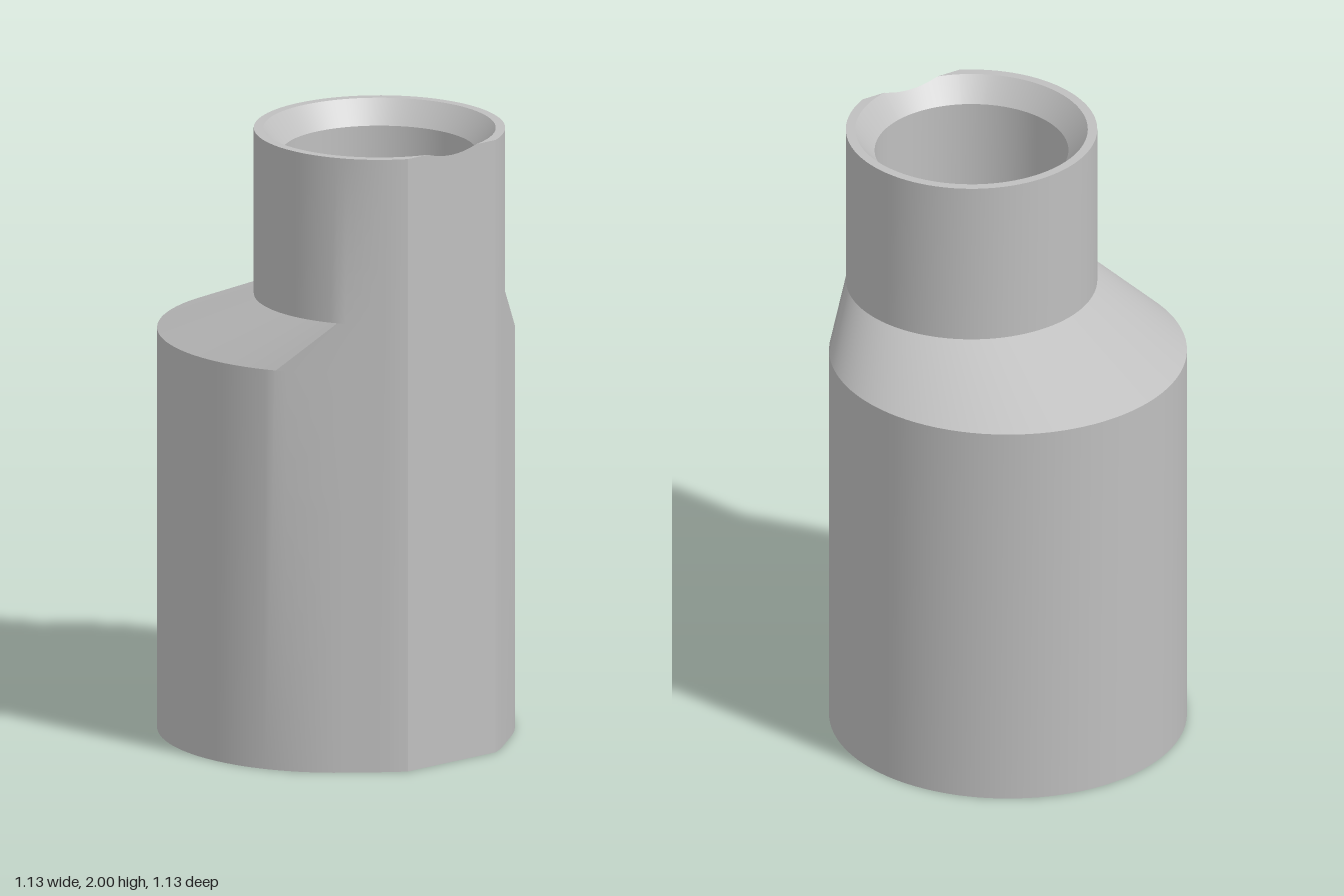
import * as THREE from 'three';
import { toCreasedNormals } from 'three/addons/utils/BufferGeometryUtils.js';

const BODY_R = 0.565;      // large lower cylinder, centred on the origin
const NECK_R = 0.397;      // small upper cylinder, shifted forwards
const NECK_Z = 0.212;
const FLAT_Z = 0.565;      // flat cut along the whole front
const MOUTH_R = 0.367, BORE_R = 0.306, BEVEL_H = 0.075;
const SOCKET_R = 0.475;

// Angle at which the body and the neck share a tangent plane
const TANGENT = Math.acos((BODY_R - NECK_R) / NECK_Z);

// Column angles from the front, with exact corners at the flat and the mouth notch
function columnAngles() {
  const corners = [NECK_R, MOUTH_R].map((r) => Math.acos((FLAT_Z - NECK_Z) / r));
  const list = [];
  for (let i = 0; i < 96; i++) list.push((i / 96) * Math.PI * 2);
  for (const a of [...corners, TANGENT - 1e-6, TANGENT + 1e-6]) list.push(a, Math.PI * 2 - a);
  return list.sort((a, b) => a - b);
}
const ANGLES = columnAngles();

// Circle around the neck axis, stopped by the front flat
function neckPoint(a, r, y) {
  const c = Math.cos(a);
  const d = NECK_Z + r * c > FLAT_Z ? (FLAT_Z - NECK_Z) / c : r;
  return [d * Math.sin(a), y, NECK_Z + d * c, d];
}

// Rim height drops where the flat cuts into the bevelled mouth
function rimPoint(a, r) {
  const p = neckPoint(a, r, 2);
  p[1] -= Math.max(0, MOUTH_R - p[3]) * BEVEL_H / (MOUTH_R - BORE_R);
  return p;
}

const circle = (r, y, z = 0) => (a) => [r * Math.sin(a), y, z + r * Math.cos(a)];

// Lower outline: big circle joined tangentially to the neck circle at the front
const bodyOutline = (y) => (a) =>
  Math.cos(a) > Math.cos(TANGENT) ? neckPoint(a, NECK_R, y) : circle(BODY_R, y)(a);

// Skin a sequence of closed rings
function skin(rings) {
  const n = ANGLES.length, pos = [], index = [];
  for (const ring of rings) for (const a of ANGLES) pos.push(...ring(a).slice(0, 3));
  for (let k = 0; k < rings.length - 1; k++) {
    for (let j = 0; j < n; j++) {
      const a = k * n + j, b = k * n + (j + 1) % n;
      index.push(a, b, b + n, a, b + n, a + n);
    }
  }
  const g = new THREE.BufferGeometry();
  g.setAttribute('position', new THREE.Float32BufferAttribute(pos, 3));
  g.setIndex(index);
  return toCreasedNormals(g, 0.4);
}

export function createModel() {
  const group = new THREE.Group();
  const grey = new THREE.MeshStandardMaterial({ color: 0xbfbfbf });
  grey.name = 'lightGrey';

  const add = (name, rings) => {
    const mesh = new THREE.Mesh(skin(rings), grey);
    mesh.name = name;
    group.add(mesh);
  };

  // Wide blind socket opening downwards, with the bottom rim
  add('lowerSocket', [circle(0, 1.2), circle(SOCKET_R, 1.2), circle(SOCKET_R, 0), bodyOutline(0)]);

  // Outer wall: body, sloping shoulder and offset neck
  add('outerShell', [
    bodyOutline(0),
    bodyOutline(1.305),
    (a) => neckPoint(a, NECK_R, 1.46),
    (a) => rimPoint(a, NECK_R),
  ]);

  // Top rim, bevelled mouth and blind upper bore
  add('upperBore', [
    (a) => rimPoint(a, NECK_R),
    (a) => rimPoint(a, MOUTH_R),
    circle(BORE_R, 2 - BEVEL_H, NECK_Z),
    circle(BORE_R, 1.35, NECK_Z),
    circle(0, 1.35, NECK_Z),
  ]);

  return group;
}
